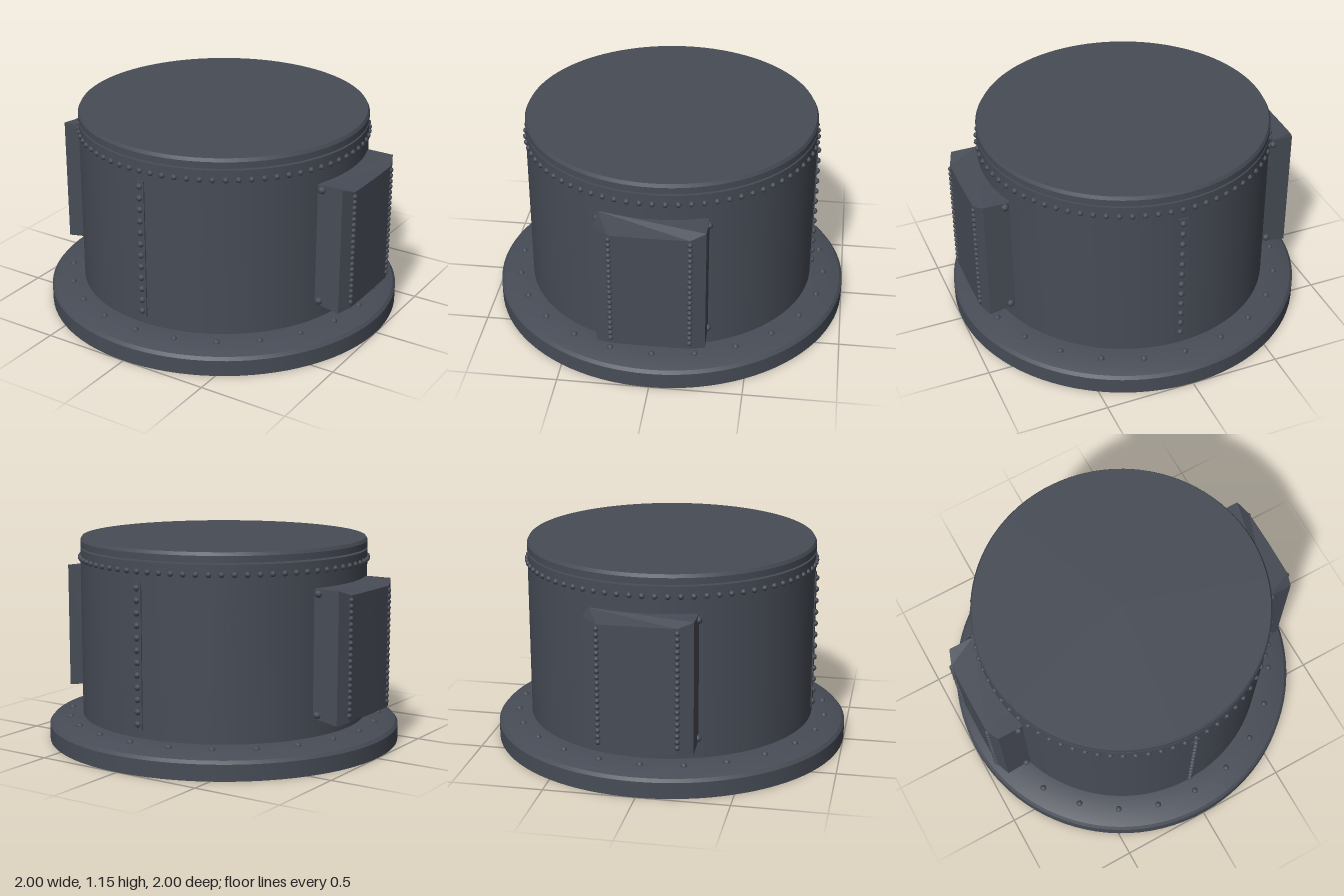
import * as THREE from 'three';
import { mergeGeometries, toCreasedNormals } from 'three/addons/utils/BufferGeometryUtils.js';

const steel = new THREE.MeshStandardMaterial({ color: 0x474c56 });
steel.name = 'dark steel';

function part(name, geometry) {
  const mesh = new THREE.Mesh(geometry, steel);
  mesh.name = name;
  return mesh;
}

// Solid of revolution from [radius, height] pairs, with sharp rims
function turned(name, points) {
  const profile = points.map(([r, y]) => new THREE.Vector2(r, y));
  return part(name, toCreasedNormals(new THREE.LatheGeometry(profile, 96), 0.35));
}

// Merged rivet heads at a list of [x, y, z] positions
function rivets(name, positions, radius) {
  return part(name, mergeGeometries(positions.map(([x, y, z]) =>
    new THREE.SphereGeometry(radius, 8, 6).translate(x, y, z))));
}

function ring(count, radius, y) {
  return Array.from({ length: count }, (_, i) => {
    const a = (i / count) * Math.PI * 2;
    return [Math.sin(a) * radius, y, Math.cos(a) * radius];
  });
}

function column(count, x, z, y0, y1) {
  return Array.from({ length: count }, (_, i) => [x, y0 + (y1 - y0) * i / (count - 1), z]);
}

// Side housing: chamfered footprint with top and bottom edges drawn in at the outer face
function housing() {
  const group = new THREE.Group();
  group.name = 'sideHousing';
  const footprint = [[0.765, 0.29], [0.91, 0.29], [0.942, 0.21], [0.945, 0],
    [0.942, -0.21], [0.91, -0.29], [0.765, -0.29]];
  const shape = new THREE.Shape(footprint.map(([x, z]) => new THREE.Vector2(x, -z)));
  const geo = new THREE.ExtrudeGeometry(shape, { depth: 1, bevelEnabled: false });
  geo.rotateX(-Math.PI / 2);
  const p = geo.attributes.position;
  for (let i = 0; i < p.count; i++) {
    const x = p.getX(i);
    const outer = x > 0.93;
    const y = p.getY(i) > 0.5 ? (outer ? 0.915 : 0.945) : (outer ? 0.235 : x > 0.85 ? 0.225 : 0.25);
    p.setY(i, y);
  }
  geo.computeVertexNormals();
  group.add(part('housingShell', toCreasedNormals(geo, 0.3)));

  // Seam rivets on both outer corners, plus a bolt at each mounting corner
  const seams = [], bolts = [];
  for (const s of [-1, 1]) {
    seams.push(...column(20, 0.94, s * 0.21, 0.27, 0.89));
    for (const y of [0.27, 0.92]) bolts.push([0.79, y, s * 0.29]);
  }
  group.add(rivets('housingSeamRivets', seams, 0.015));
  group.add(rivets('housingBolts', bolts, 0.021));
  return group;
}

export function createModel() {
  const model = new THREE.Group();
  model.name = 'rivetedDrum';

  // Base flange, drum wall and separate lid
  model.add(turned('baseFlange', [[0, 0], [1, 0], [1, 0.09], [0.985, 0.107], [0.91, 0.133],
    [0.8, 0.145], [0, 0.145]]));
  model.add(turned('drum', [[0, 0.13], [0.81, 0.13], [0.81, 1.09], [0, 1.09]]));
  model.add(turned('lid', [[0, 1.1], [0.81, 1.1], [0.81, 1.135], [0.8, 1.153], [0, 1.153]]));

  // Rivet rings
  model.add(rivets('rimRivets', ring(76, 0.81, 1.037), 0.016));
  model.add(rivets('flangeRivets', ring(24, 0.885, 0.135), 0.018));

  // Vertical seams front and back
  for (const s of [-1, 1]) {
    const seam = new THREE.Group();
    seam.name = s > 0 ? 'frontSeam' : 'backSeam';
    const strip = part('seamStrip', new THREE.BoxGeometry(0.055, 0.79, 0.016));
    strip.position.set(0, 0.585, s * 0.808);
    seam.add(strip, rivets('seamRivets', column(12, 0, s * 0.815, 0.22, 0.95), 0.018));
    model.add(seam);
  }

  // Housings on both sides
  const left = housing();
  left.name = 'leftHousing';
  const right = housing();
  right.name = 'rightHousing';
  right.rotation.y = Math.PI;
  model.add(left, right);

  return model;
}
